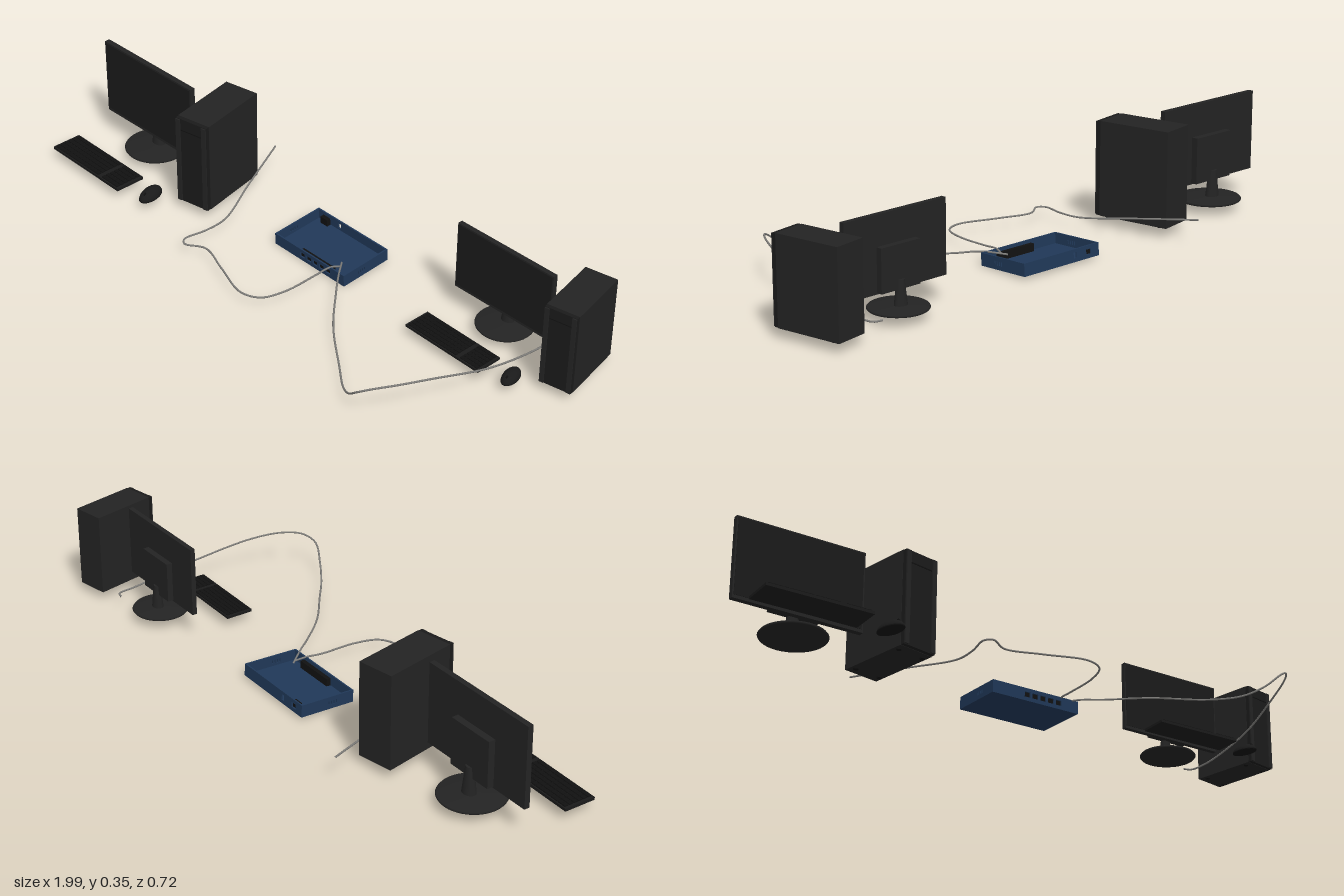
import * as THREE from 'three';
import { mergeGeometries } from 'three/addons/utils/BufferGeometryUtils.js';

const mat = (name, color) => {
  const m = new THREE.MeshStandardMaterial({ color });
  m.name = name;
  return m;
};
const charcoal = mat('charcoal', 0x232323);
const dark = mat('dark plastic', 0x1a1a1a);
const black = mat('black', 0x111111);
const blue = mat('navy blue', 0x203858);
const grey = mat('cable grey', 0x7c7b78);

function add(parent, name, geometry, material, x = 0, y = 0, z = 0) {
  const mesh = new THREE.Mesh(geometry, material);
  mesh.name = name;
  mesh.position.set(x, y, z);
  parent.add(mesh);
  return mesh;
}
const box = (w, h, d) => new THREE.BoxGeometry(w, h, d);
function part(parent, name, x, y, z, turn = 0) {
  const g = new THREE.Group();
  g.name = name;
  g.position.set(x, y, z);
  g.rotation.y = turn;
  parent.add(g);
  return g;
}

function buildMonitor(parent) {
  const g = part(parent, 'monitor', 0, 0, 0, -0.01);
  add(g, 'display', box(0.42, 0.26, 0.018), charcoal, 0, 0.195, 0.016);
  add(g, 'screen', box(0.41, 0.245, 0.002), dark, 0, 0.198, 0.0255);
  add(g, 'rearHousing', box(0.16, 0.15, 0.022), charcoal, 0, 0.145, -0.004);
  // Round foot with a gently domed top
  const profile = [[0, 0.004], [0.1, 0.004], [0.103, 0.008], [0.1, 0.012], [0.05, 0.017], [0, 0.019]];
  add(g, 'standBase', new THREE.LatheGeometry(profile.map(p => new THREE.Vector2(...p)), 40), charcoal);
  // Tapered neck
  const neck = add(g, 'standNeck', new THREE.CylinderGeometry(0.014, 0.025, 0.09, 20), charcoal, 0, 0.058, -0.012);
  neck.scale.z = 0.8;
}

function buildTower(parent) {
  const g = part(parent, 'tower', 0.313, 0, 0.012, 0.175);
  add(g, 'case', box(0.12, 0.306, 0.245), charcoal, 0, 0.157, -0.009);
  // Front panel with raised side rails
  add(g, 'frontPanel', box(0.118, 0.304, 0.014), dark, 0, 0.157, 0.12);
  for (const s of [-1, 1]) {
    add(g, 'panelRail', box(0.016, 0.3, 0.005), charcoal, s * 0.05, 0.157, 0.129);
    for (const z of [-0.1, 0.09]) {
      add(g, 'towerFoot', new THREE.CylinderGeometry(0.008, 0.008, 0.005, 12), black, s * 0.045, 0.0025, z);
    }
  }
  add(g, 'driveBay', box(0.08, 0.003, 0.002), black, 0, 0.27, 0.128);
}

function buildKeyboard(parent) {
  const g = part(parent, 'keyboard', -0.0525, 0, 0.205, -0.03);
  add(g, 'keyboardBody', box(0.335, 0.009, 0.104), dark, 0, 0.0105, 0);
  // Rows of keys, with a wide space bar in the front row
  const keys = [];
  for (let row = 0; row < 6; row++) {
    for (let col = 0; col < 20; col++) {
      const gap = col === 14 || (row === 5 && col > 3 && col < 9);
      if (gap) continue;
      keys.push(box(0.0135, 0.004, 0.0135).translate(-0.152 + col * 0.016, 0.017, -0.041 + row * 0.0164));
    }
  }
  keys.push(box(0.075, 0.004, 0.0135).translate(-0.056, 0.017, 0.041));
  add(g, 'keys', mergeGeometries(keys), black);
}

function buildMouse(parent) {
  const g = part(parent, 'mouse', 0.202, 0.006, 0.2, 0.25);
  const shell = add(g, 'mouseShell', new THREE.SphereGeometry(1, 24, 10, 0, Math.PI * 2, 0, Math.PI / 2), dark);
  shell.scale.set(0.028, 0.026, 0.05);
  const base = add(g, 'mouseBase', new THREE.CylinderGeometry(1, 1, 0.003, 24), black);
  base.scale.set(0.028, 1, 0.05);
  const wheel = add(g, 'scrollWheel', new THREE.CylinderGeometry(0.006, 0.006, 0.005, 12), black, 0, 0.019, 0.029);
  wheel.rotation.z = Math.PI / 2;
}

function buildWorkstation(parent, name, x, z, scale) {
  const g = part(parent, name, x, 0.03, z);
  g.scale.setScalar(scale);
  buildMonitor(g);
  buildTower(g);
  buildKeyboard(g);
  buildMouse(g);
}

// Upright wall panel with rectangular openings [x, y, width, height]
function wall(w, h, t, openings) {
  const rect = (Kind, x, y, rw, rh) => new Kind([
    new THREE.Vector2(x, y), new THREE.Vector2(x + rw, y),
    new THREE.Vector2(x + rw, y + rh), new THREE.Vector2(x, y + rh)]);
  const shape = rect(THREE.Shape, -w / 2, 0, w, h);
  for (const o of openings) shape.holes.push(rect(THREE.Path, ...o));
  return new THREE.ExtrudeGeometry(shape, { depth: t, bevelEnabled: false }).translate(0, 0, -t / 2);
}

function buildHub(parent) {
  const g = part(parent, 'networkHub', 0.01, 0.008, -0.15, -0.02);
  g.rotation.x = 0.05;
  const W = 0.305, D = 0.186, H = 0.04, T = 0.005;
  add(g, 'hubFloor', box(W, 0.006, D), blue, 0, 0.003, 0);
  // Front sockets, rear sockets and side vents
  const sockets = [0, 1, 2, 3, 4].map(i => [-0.04 + i * 0.028, 0.012, 0.02, 0.016]);
  add(g, 'hubFrontWall', wall(W, H, T, sockets), blue, 0, 0, D / 2 - T / 2);
  add(g, 'hubBackWall', wall(W, H, T, [[-0.12, 0.012, 0.02, 0.016], [-0.06, 0.012, 0.012, 0.018]]), blue, 0, 0, -D / 2 + T / 2);
  const vents = [0, 1, 2, 3].map(i => [-0.034 + i * 0.009, 0.014, 0.004, 0.012]);
  for (const s of [-1, 1]) {
    const side = add(g, 'hubSideWall', wall(D - 2 * T, H, T, vents), blue, s * (W / 2 - T / 2), 0, 0);
    side.rotation.y = Math.PI / 2;
  }
  // Socket blocks behind the openings
  add(g, 'frontSocketBlock', box(0.14, 0.024, 0.014), black, 0.026, 0.018, 0.08);
  add(g, 'rearSocketBlock', box(0.03, 0.024, 0.014), black, -0.11, 0.018, -0.08);
}

function cable(parent, name, points) {
  const curve = new THREE.CatmullRomCurve3(points.map(p => new THREE.Vector3(...p)));
  add(parent, name, new THREE.TubeGeometry(curve, 120, 0.003, 8), grey);
}

export function createModel() {
  const model = new THREE.Group();
  model.name = 'networkedComputers';
  buildWorkstation(model, 'largeWorkstation', -0.78, -0.125, 1);
  buildWorkstation(model, 'smallWorkstation', 0.645, -0.235, 0.87);
  buildHub(model);
  cable(model, 'leftCable', [
    [-0.46, 0.08, -0.36], [-0.38, 0.059, -0.165], [-0.31, 0.042, 0.0], [-0.308, 0.04, 0.08], [-0.32, 0.04, 0.16],
    [-0.3, 0.04, 0.178], [-0.24, 0.039, 0.146], [-0.13, 0.038, 0.18], [0, 0.038, 0.22],
    [0.06, 0.038, 0.195], [0.088, 0.038, 0.12], [0.094, 0.039, 0], [0.1, 0.043, -0.055], [0.112, 0.036, -0.09]]);
  cable(model, 'rightCable', [
    [0.1, 0.036, -0.105], [0.15, 0.042, -0.04], [0.2, 0.034, 0.02], [0.3, 0.025, 0.13], [0.43, 0.014, 0.235],
    [0.51, 0.022, 0.3], [0.57, 0.055, 0.338], [0.62, 0.1, 0.357], [0.66, 0.122, 0.335],
    [0.7, 0.128, 0.28], [0.74, 0.118, 0.18], [0.785, 0.08, 0], [0.798, 0.055, -0.15],
    [0.798, 0.045, -0.24], [0.79, 0.045, -0.3], [0.765, 0.045, -0.307]]);
  return model;
}
